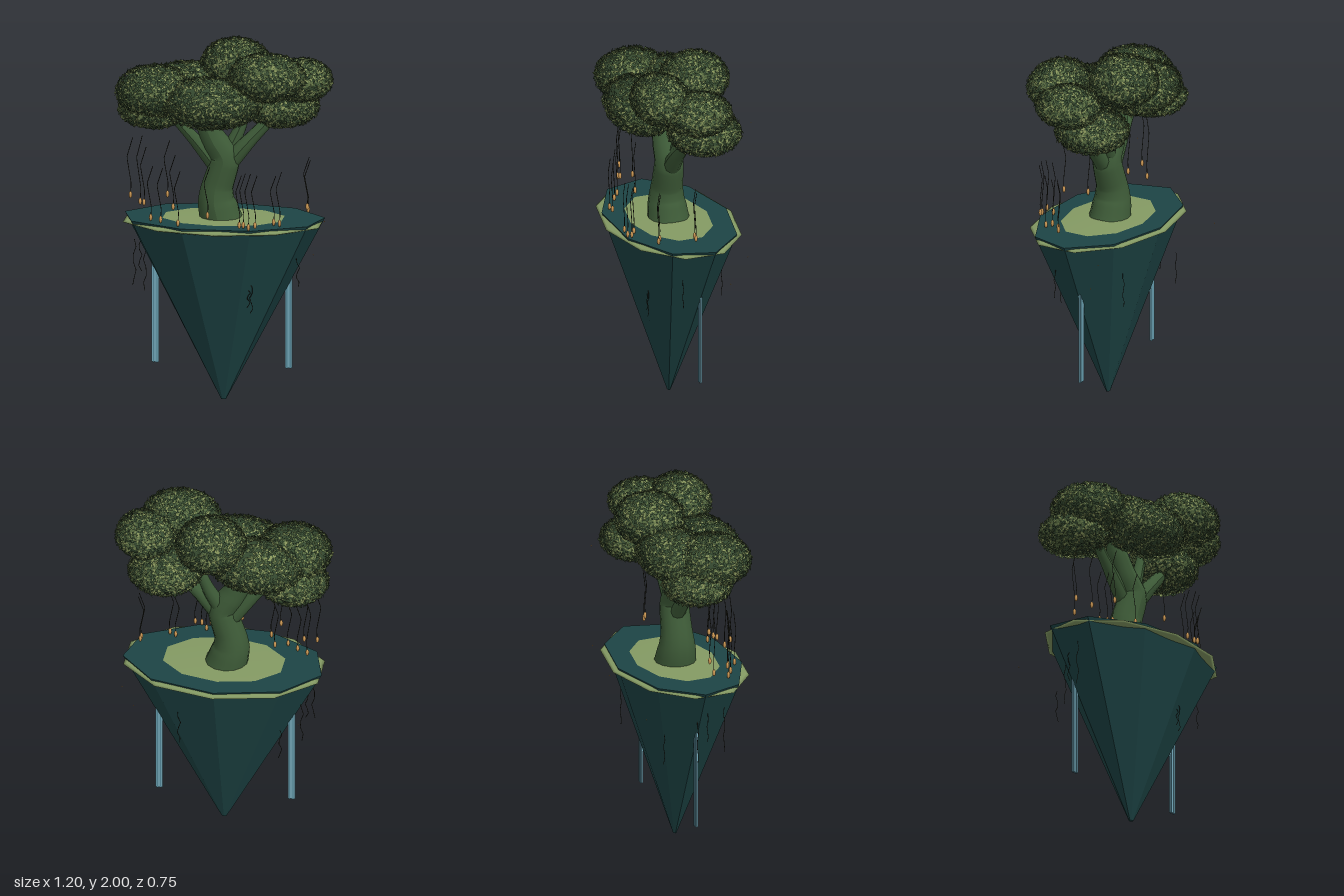
import * as THREE from 'three';
import { mergeGeometries } from 'three/addons/utils/BufferGeometryUtils.js';

const mat = (name, color, side = THREE.FrontSide, flatShading = false) => {
  const m = new THREE.MeshStandardMaterial({ color, side, flatShading });
  m.name = name;
  return m;
};

// Small seeded random generator
function seeded(seed) {
  let s = seed;
  return () => {
    s = (s * 1664525 + 1013904223) % 4294967296;
    return s / 4294967296;
  };
}

const V = (x, y, z) => new THREE.Vector3(x, y, z);

// Tube along points [x, y, z, radius], tapering between them
function taperedTube(points, segments, sides) {
  const curve = new THREE.CatmullRomCurve3(points.map(p => V(p[0], p[1], p[2])), false, 'catmullrom', 0.25);
  const geo = new THREE.TubeGeometry(curve, segments, 1, sides, false);
  const pos = geo.attributes.position, v = V(0, 0, 0);
  for (let i = 0; i <= segments; i++) {
    const u = i / segments, c = curve.getPointAt(u);
    const t = curve.getUtoTmapping(u) * (points.length - 1);
    const k = Math.min(Math.floor(t), points.length - 2);
    const r = THREE.MathUtils.lerp(points[k][3], points[k + 1][3], t - k);
    for (let j = 0; j <= sides; j++) {
      const n = i * (sides + 1) + j;
      v.fromBufferAttribute(pos, n).sub(c).multiplyScalar(r).add(c);
      pos.setXYZ(n, v.x, v.y, v.z);
    }
  }
  geo.computeVertexNormals();
  return geo;
}

// Thin strand with straight pieces
function strand(points, radius) {
  const path = new THREE.CurvePath();
  for (let i = 1; i < points.length; i++) path.add(new THREE.LineCurve3(points[i - 1], points[i]));
  return new THREE.TubeGeometry(path, (points.length - 1) * 6, radius, 4, false);
}

// Crown clumps: centre x, y, z and radii x, y, z
const clumps = [
  [-0.38, 1.73, 0.07, 0.21, 0.135, 0.21],
  [-0.40, 1.61, -0.03, 0.19, 0.10, 0.19],
  [0.04, 1.85, -0.12, 0.19, 0.14, 0.19],
  [0.25, 1.845, 0.16, 0.21, 0.13, 0.155],
  [0.42, 1.80, 0.00, 0.165, 0.11, 0.18],
  [0.30, 1.635, -0.08, 0.20, 0.11, 0.20],
  [-0.06, 1.69, 0.16, 0.28, 0.14, 0.18],
  [-0.21, 1.725, -0.09, 0.26, 0.13, 0.19],
];

// Folded diamond leaves scattered over the outside of the clumps
function leafGeometries(groups) {
  const rnd = seeded(7), out = Array.from({ length: groups }, () => ({ pos: [], nor: [] }));
  const n = V(0, 0, 0), side = V(0, 0, 0), dir = V(0, 0, 0), p = V(0, 0, 0);
  const inside = (q, skip) => clumps.some((c, i) => i !== skip &&
    ((q.x - c[0]) / c[3]) ** 2 + ((q.y - c[1]) / c[4]) ** 2 + ((q.z - c[2]) / c[5]) ** 2 < 0.8);
  clumps.forEach((c, ci) => {
    for (let i = 0; i < 3600; i++) {
      const h = rnd() * 2 - 1, a = rnd() * Math.PI * 2, w = Math.sqrt(1 - h * h);
      n.set(w * Math.cos(a), h, w * Math.sin(a));
      const r = 0.94 + 0.06 * rnd();
      p.set(c[0] + n.x * c[3] * r, c[1] + n.y * c[4] * r, c[2] + n.z * c[5] * r);
      if (inside(p, ci)) continue;
      // leaves lie along the surface with the tip lifted a little
      dir.set(rnd() - 0.5, rnd() - 0.5, rnd() - 0.5).cross(n).normalize().addScaledVector(n, 0.1 + 0.5 * rnd()).normalize();
      side.copy(n).cross(dir).normalize();
      const len = 0.02 + 0.012 * rnd(), half = 0.007;
      const tip = p.clone().addScaledVector(dir, len);
      const mid = p.clone().addScaledVector(dir, len * 0.45).addScaledVector(n, 0.002);
      const l = mid.clone().addScaledVector(side, half), q = mid.clone().addScaledVector(side, -half);
      const pick = rnd();
      const list = out[pick < 0.36 ? 0 : pick < 0.78 ? 1 : 2];
      for (const v of [p, q, tip, p, tip, l]) {
        list.pos.push(v.x, v.y, v.z);
        list.nor.push(n.x, n.y, n.z);
      }
    }
  });
  return out.map(({ pos, nor }) => {
    const g = new THREE.BufferGeometry();
    g.setAttribute('position', new THREE.Float32BufferAttribute(pos, 3));
    g.setAttribute('normal', new THREE.Float32BufferAttribute(nor, 3));
    return g;
  });
}

export function createModel() {
  const model = new THREE.Group();
  model.name = 'floatingIslandTree';
  const D = THREE.DoubleSide;
  const rock = mat('teal rock', 0x1d4445, THREE.FrontSide, true);
  const grass = mat('pale grass', 0x849a63);
  const bark = mat('green bark', 0x3d5a37);
  const leafMats = [mat('dark leaf', 0x34482f, D), mat('leaf', 0x56693f, D), mat('light leaf', 0x86935a, D)];
  const vine = mat('vine', 0x26261c);
  const amber = mat('amber', 0xcf9a55);
  const water = mat('water', 0x74a9ba);
  const deepWater = mat('deep water', 0x558a9b);
  const add = (name, geo, material, parent = model) => {
    const m = new THREE.Mesh(geo, material);
    m.name = name;
    parent.add(m);
  };

  // Island: nine-sided inverted cone with one corner at the back
  const cone = new THREE.CylinderGeometry(1, 0.026, 1.02, 9);
  cone.rotateY(Math.PI).scale(0.56, 1, 0.338).translate(-0.01, 0.51, 0.008);
  add('islandRock', cone, rock);

  // Flat grass lens: shows as a rim below and a patch on top
  const lens = new THREE.SphereGeometry(1, 10, 12);
  lens.rotateY(Math.PI / 2).scale(0.567, 0.0255, 0.367).translate(-0.01, 1.0, 0.008);
  add('grassBed', lens, grass);

  // Trunk and branches
  const tree = new THREE.Group();
  tree.name = 'tree';
  model.add(tree);
  add('trunk', taperedTube([[-0.022, 1.0, 0.005, 0.118], [-0.05, 1.11, 0.005, 0.102], [-0.045, 1.19, 0.005, 0.088],
    [0.0, 1.35, 0.01, 0.08], [-0.06, 1.45, 0.01, 0.07], [-0.12, 1.58, 0.01, 0.055], [-0.16, 1.7, 0, 0.035]], 32, 14), bark, tree);
  [
    [[-0.05, 1.3, 0, 0.045], [-0.16, 1.44, 0.01, 0.036], [-0.32, 1.62, 0.03, 0.022]],
    [[0, 1.3, 0.01, 0.055], [0.12, 1.44, 0.01, 0.042], [0.29, 1.62, -0.02, 0.028]],
    [[0, 1.36, -0.01, 0.045], [0.07, 1.5, -0.03, 0.035], [0.15, 1.72, -0.06, 0.022]],
  ].forEach((pts, i) => add('branch' + (i + 1), taperedTube(pts, 12, 10), bark, tree));

  // Crown: cores covered in leaves
  const crown = new THREE.Group();
  crown.name = 'crown';
  model.add(crown);
  add('crownCore', mergeGeometries(clumps.map(c =>
    new THREE.SphereGeometry(0.93, 24, 16).scale(c[3], c[4], c[5]).translate(c[0], c[1], c[2]))), leafMats[0], crown);
  leafGeometries(3).forEach((g, i) => add(['darkLeaves', 'leaves', 'lightLeaves'][i], g, leafMats[i], crown));

  // Hanging vines with amber buds: x, bud y, z, top y
  const hanging = [
    [-0.51, 1.15, 0.10, 1.47], [-0.465, 1.10, 0.04, 1.47], [-0.43, 1.12, 0.14, 1.43], [-0.39, 1.04, 0.16, 1.33],
    [-0.33, 1.04, 0.20, 1.33], [-0.295, 1.18, 0.18, 1.48], [-0.275, 1.09, 0.10, 1.38], [-0.225, 1.04, 0.27, 1.33],
    [-0.055, 1.10, 0.32, 1.37], [0.12, 1.05, 0.32, 1.33], [0.135, 1.04, 0.27, 1.33], [0.17, 1.04, 0.32, 1.34],
    [0.205, 1.05, 0.31, 1.33], [0.29, 1.04, 0.18, 1.30], [0.325, 1.04, 0.20, 1.33], [0.455, 1.10, 0.04, 1.38],
    [0.46, 1.085, 0.035, 1.36],
  ];
  const cords = [], buds = [];
  for (const [x, y, z, top] of hanging) {
    const h = top - y;
    cords.push(strand([V(x + 0.012, top, z), V(x - 0.02, y + h * 0.66, z), V(x + 0.004, y + h * 0.2, z), V(x, y, z)], 0.002));
    buds.push(new THREE.SphereGeometry(1, 8, 6).scale(0.0095, 0.02, 0.0095).translate(x, y, z));
  }
  add('hangingVines', mergeGeometries(cords), vine);
  add('amberBuds', mergeGeometries(buds), amber);

  // Wavy roots hanging around the rock: x, top y, z, bottom y
  const roots = [
    [-0.49, 0.9, 0.09, 0.64], [-0.45, 0.84, -0.05, 0.58], [-0.47, 0.88, 0.0, 0.7], [-0.36, 0.74, -0.21, 0.56],
    [0.41, 0.82, 0.09, 0.66], [0.17, 0.7, 0.2, 0.53], [0.155, 0.66, 0.2, 0.56], [0.2, 0.8, -0.22, 0.6],
  ].map(([x, top, z, low], k) => {
    const pts = [];
    for (let i = 0; i <= 6; i++) pts.push(V(x + 0.01 * Math.sin(i * 1.9 + k), top + (low - top) * i / 6, z));
    return strand(pts, 0.0018);
  });
  add('hangingRoots', mergeGeometries(roots), vine);

  // Waterfalls: a bright sheet with two deeper streams on each face
  for (const [name, cx, top, low] of [['rightWaterfall', -0.392, 0.76, 0.185], ['leftWaterfall', 0.342, 0.72, 0.175]]) {
    const fall = new THREE.Group();
    fall.name = name;
    model.add(fall);
    const h = top - low, cy = (top + low) / 2;
    add('waterSheet', new THREE.BoxGeometry(0.04, h, 0.01).translate(cx, cy, -0.036), water, fall);
    add('deepStreams', mergeGeometries([-0.009, 0.01].map(dx =>
      new THREE.BoxGeometry(0.006, h, 0.013).translate(cx + dx, cy - 0.003, -0.036))), deepWater, fall);
  }

  // Tiny drifting specks
  const specks = [[-0.49, 0.9, -0.375], [0.28, 1.64, -0.36], [0.51, 0.95, -0.25], [0.46, 0.78, -0.17]]
    .map(p => new THREE.OctahedronGeometry(0.004).translate(...p));
  add('driftingSpecks', mergeGeometries(specks), amber);
  return model;
}
